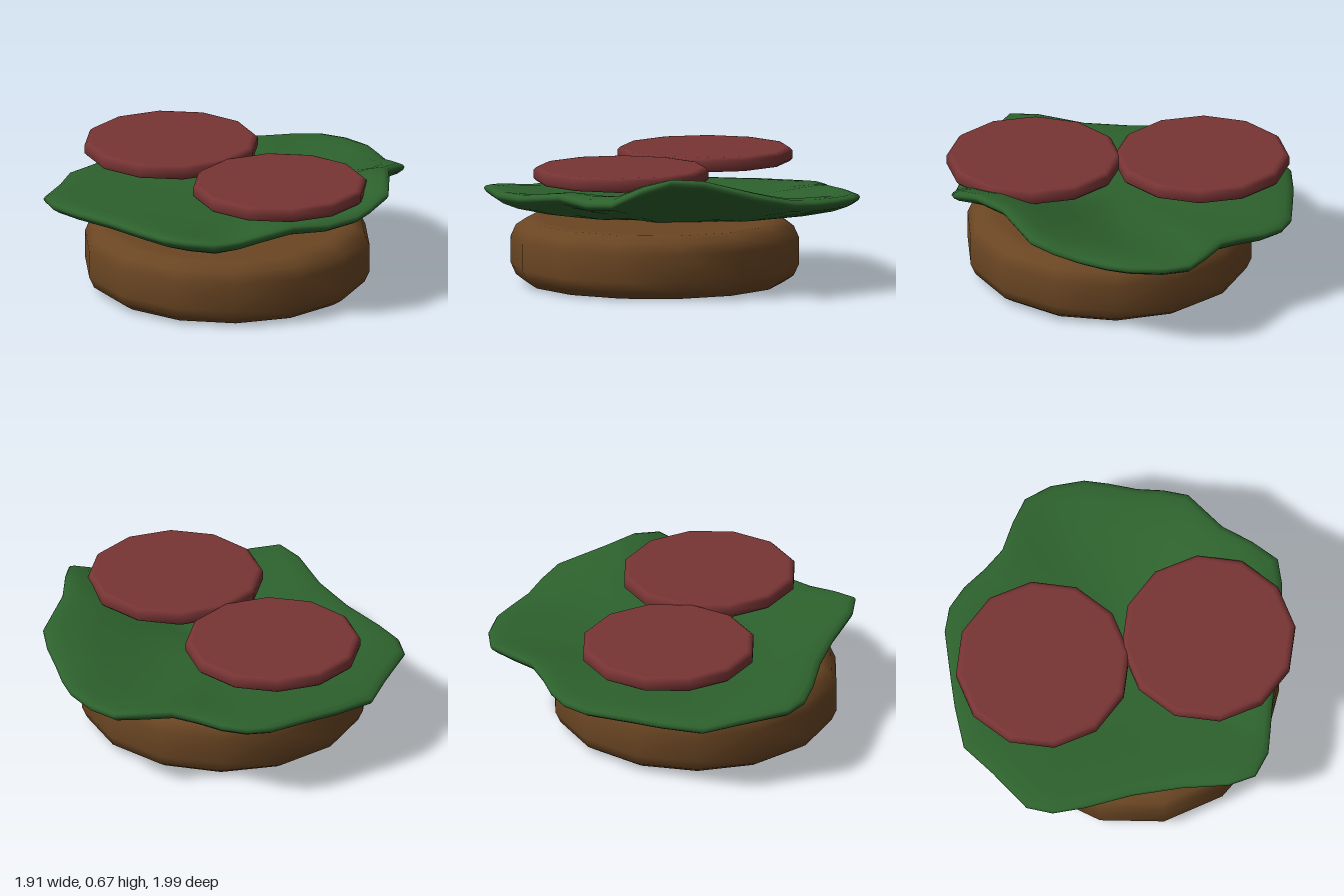
import * as THREE from 'three';

const bread = new THREE.MeshStandardMaterial({ color: 0x6b4623 });
const leafGreen = new THREE.MeshStandardMaterial({ color: 0x2d612d });
const meatRed = new THREE.MeshStandardMaterial({ color: 0x783434 });

// Round part turned from a [radius, height] profile
function turned(name, profile, sides, material, x, z) {
  const points = profile.map(([r, y]) => new THREE.Vector2(r, y));
  const mesh = new THREE.Mesh(new THREE.LatheGeometry(points, sides), material);
  mesh.name = name;
  mesh.position.set(x, 0, z);
  return mesh;
}

// Leaf rim as [x, z, height], running from the back round by +x
const rim = [
  [0.13, -1.0, 0.475], [0.28, -0.975, 0.48], [0.44, -0.89, 0.485], [0.53, -0.8, 0.485],
  [0.63, -0.68, 0.495], [0.73, -0.58, 0.525], [0.81, -0.47, 0.56], [0.83, -0.2, 0.63],
  [0.9, -0.03, 0.645], [0.955, 0.12, 0.61], [0.9, 0.23, 0.555], [0.85, 0.29, 0.52],
  [0.74, 0.43, 0.505], [0.6, 0.58, 0.525], [0.46, 0.72, 0.5], [0.38, 0.81, 0.485],
  [0.28, 0.92, 0.49], [0.14, 0.99, 0.515], [0, 0.94, 0.5], [-0.2, 0.79, 0.465],
  [-0.43, 0.66, 0.45], [-0.67, 0.56, 0.44], [-0.82, 0.48, 0.435], [-0.91, 0.37, 0.43],
  [-0.93, 0.1, 0.41], [-0.96, -0.11, 0.4], [-0.86, -0.32, 0.41], [-0.78, -0.46, 0.42],
  [-0.65, -0.68, 0.43], [-0.55, -0.77, 0.44], [-0.42, -0.81, 0.45], [-0.28, -0.82, 0.465],
  [-0.14, -0.845, 0.48], [0, -0.935, 0.48],
];

// Leaf: scaled copies of the rim run over the top, round the edge and back underneath
function leafGeometry() {
  const upper = [[0.25, 0.048], [0.5, 0.048], [0.72, 0.048], [0.88, 0.042], [0.96, 0.03], [0.99, 0.015]];
  const rings = [...upper, [1, 0], ...upper.map(([s, t]) => [s, -t]).reverse()];
  const n = rim.length;
  const positions = [];
  const index = [];
  for (const [s, thickness] of rings) {
    for (const [x, z, edge] of rim) {
      const base = 0.388 + Math.max(0, x * s - 0.25) * 0.25;
      const y = THREE.MathUtils.lerp(base, edge, Math.pow(s, 2.5));
      positions.push(x * s, y + thickness, z * s);
    }
  }
  const top = rings.length * n;
  const bottom = top + 1;
  positions.push(0, 0.436, 0, 0, 0.34, 0);
  const last = (rings.length - 1) * n;
  for (let i = 0; i < n; i++) {
    const j = (i + 1) % n;
    index.push(top, j, i, bottom, last + i, last + j);
    for (let r = 0; r < rings.length - 1; r++) {
      const a = r * n, b = a + n;
      index.push(a + i, b + j, b + i, a + i, a + j, b + j);
    }
  }
  const geometry = new THREE.BufferGeometry();
  geometry.setAttribute('position', new THREE.Float32BufferAttribute(positions, 3));
  geometry.setIndex(index);
  geometry.computeVertexNormals();
  return geometry;
}

export function createModel() {
  const model = new THREE.Group();
  model.name = 'openSandwich';

  // Bottom bun with rounded edges
  const bun = [[0, 0], [0.62, 0], [0.68, 0.004], [0.735, 0.04], [0.762, 0.1],
    [0.762, 0.245], [0.735, 0.305], [0.68, 0.341], [0.62, 0.345], [0, 0.345]];
  model.add(turned('bottomBun', bun, 14, bread, 0.025, 0.09));

  // Wavy lettuce leaf
  const leaf = new THREE.Mesh(leafGeometry(), leafGreen);
  leaf.name = 'lettuceLeaf';
  model.add(leaf);

  // Two meat slices
  const slice = [[0, 0.588], [0.43, 0.588], [0.447, 0.59], [0.463, 0.605],
    [0.463, 0.648], [0.447, 0.663], [0.43, 0.665], [0, 0.665]];
  model.add(turned('rightMeatSlice', slice, 12, meatRed, -0.395, -0.16));
  model.add(turned('leftMeatSlice', slice, 12, meatRed, 0.39, 0.255));

  return model;
}
